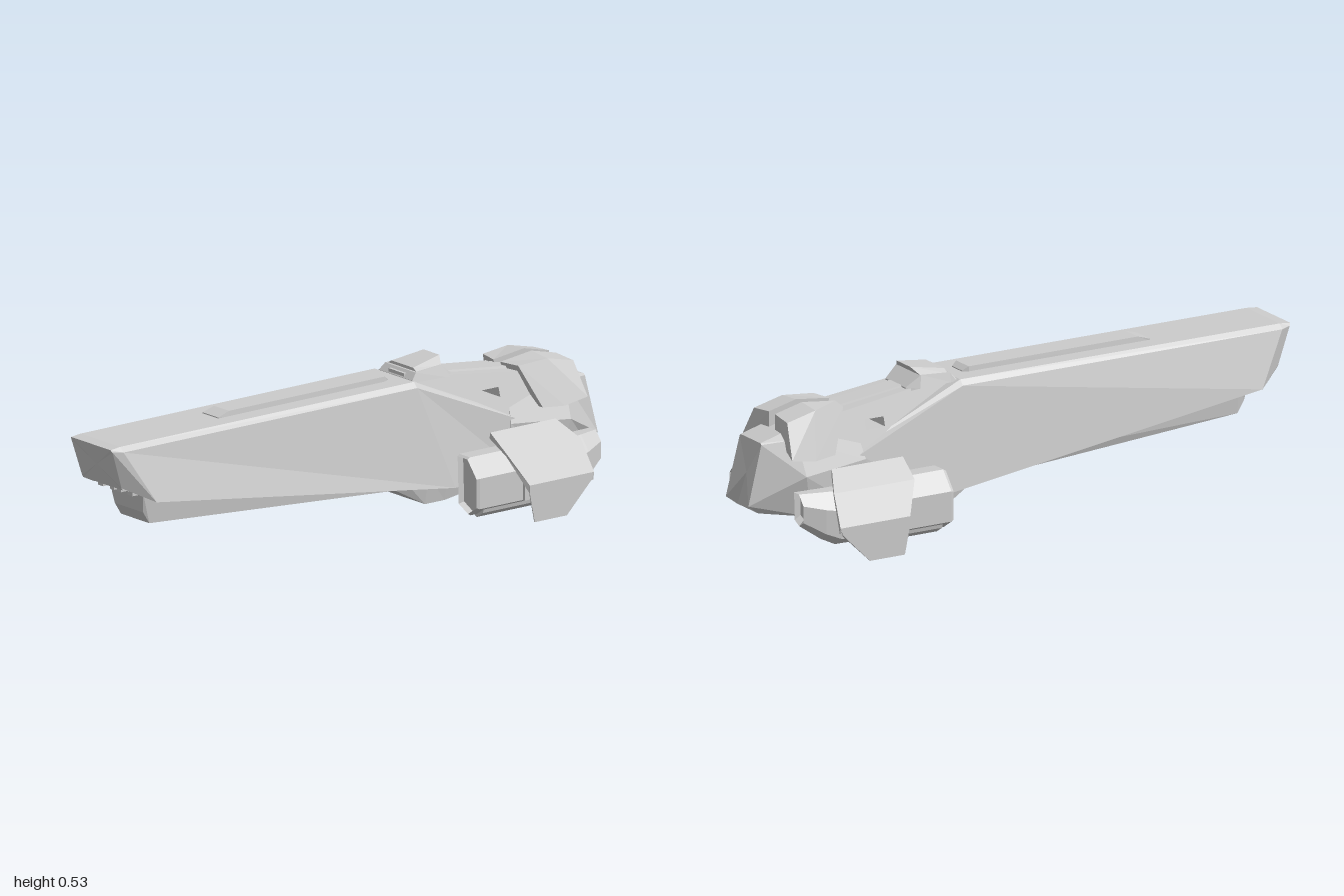
import * as THREE from 'three';

const mat = new THREE.MeshStandardMaterial({ color: 0xcccccc, flatShading: true });
const thin = new THREE.MeshStandardMaterial({ color: 0xcccccc, flatShading: true, side: THREE.DoubleSide });

// Skin a series of closed rings of [x, y, z] points, cap the ends, face outward
function loft(rings) {
  const tris = [], n = rings[0].length;
  for (let r = 0; r < rings.length - 1; r++) {
    for (let i = 0; i < n; i++) {
      const j = (i + 1) % n, a = rings[r], b = rings[r + 1];
      tris.push([a[i], a[j], b[j]], [a[i], b[j], b[i]]);
    }
  }
  [rings[0], rings[rings.length - 1]].forEach((ring, end) => {
    const c = [0, 1, 2].map(k => ring.reduce((s, p) => s + p[k], 0) / n);
    ring.forEach((p, i) => {
      const q = ring[(i + 1) % n];
      tris.push(end ? [c, p, q] : [c, q, p]);
    });
  });
  const v = p => new THREE.Vector3(...p);
  const volume = tris.reduce((s, [a, b, c]) => s + v(a).dot(v(b).cross(v(c))), 0);
  if (volume < 0) tris.forEach(t => t.reverse());
  const geo = new THREE.BufferGeometry();
  geo.setAttribute('position', new THREE.Float32BufferAttribute(tris.flat(2), 3));
  geo.computeVertexNormals();
  return geo;
}

// Complete a half ring (+x side, top to bottom) by mirroring
const sym = half => [...half, ...half.map(([x, y, z]) => [-x, y, z]).reverse()];

export function createModel() {
  const group = new THREE.Group();
  const add = (name, geo, material = mat) => {
    const m = new THREE.Mesh(geo, material);
    m.name = name;
    group.add(m);
    return m;
  };
  const box = (name, x0, x1, y0, y1, z0, z1) =>
    add(name, new THREE.BoxGeometry(x1 - x0, y1 - y0, z1 - z0))
      .position.set((x0 + x1) / 2, (y0 + y1) / 2, (z0 + z1) / 2);

  // Long forward hull with bevelled nose and slanted rear
  add('mainHull', loft([
    [[0.1, 0.468, 1], [0.105, 0.46, 0.995], [0.1, 0.335, 0.955], [0.1, 0.327, 0.95]],
    [[0.1, 0.472, 0.96], [0.117, 0.457, 0.96], [0.16, 0.285, 0.86], [0.1, 0.3, 0.86]],
    [[0.1, 0.477, -0.23], [0.116, 0.46, -0.23], [0.16, 0.12, -0.35], [0.1, 0.135, -0.35]],
    [[0.1, 0.305, -0.62], [0.125, 0.295, -0.62], [0.135, 0.12, -0.63], [0.1, 0.12, -0.63]],
  ].map(sym)));

  // Keel below the hull
  add('keel', loft([
    [[0.085, 0.297, 0.855], [0.072, 0.23, 0.845]],
    [[0.085, 0.3, 0.82], [0.072, 0.19, 0.82]],
    [[0.1, 0.18, -0.17], [0.08, 0.125, -0.17]],
    [[0.11, 0.16, -0.28], [0.093, 0.064, -0.28]],
    [[0.11, 0.15, -0.36], [0.093, 0.064, -0.36]],
    [[0.12, 0.15, -0.65], [0.1, 0.11, -0.65]],
  ].map(sym)));

  // Small blocks under the chin
  for (const s of [-1, 1]) {
    for (const [c, w] of [[0.075, 0.026], [0.018, 0.02]]) {
      box('chinBlock', s * c - w / 2, s * c + w / 2, 0.296, 0.325, 0.8, 0.9);
    }
  }

  // Raised strip along the deck
  add('deckStrip', loft([
    [[0.04, 0.477, 0.515], [0.04, 0.47, 0.515]],
    [[0.038, 0.491, 0.47], [0.04, 0.47, 0.47]],
    [[0.038, 0.493, -0.16], [0.04, 0.47, -0.16]],
    [[0.03, 0.48, -0.18], [0.03, 0.47, -0.18]],
  ].map(sym)));

  // Neck: side outline with a window right through, narrowing upward
  const outline = new THREE.Shape([
    [-0.22, 0.28], [-0.7, 0.28], [-0.7, 0.428], [-0.4, 0.465], [-0.22, 0.474],
  ].map(p => new THREE.Vector2(...p)));
  outline.holes.push(new THREE.Path([
    [-0.51, 0.366], [-0.51, 0.397], [-0.58, 0.397], [-0.58, 0.366],
  ].map(p => new THREE.Vector2(...p))));
  const neck = new THREE.ExtrudeGeometry(outline, { depth: 2, bevelEnabled: false });
  neck.translate(0, 0, -1).rotateY(-Math.PI / 2);
  const np = neck.attributes.position;
  for (let i = 0; i < np.count; i++) {
    const half = THREE.MathUtils.mapLinear(np.getY(i), 0.28, 0.465, 0.125, 0.07);
    np.setX(i, np.getX(i) * half);
  }
  neck.computeVertexNormals();
  // The rotation sends the outline's first axis to +z
  add('neck', neck);

  // Spine on top of the neck
  add('neckSpine', loft([
    [[0.035, 0.475, -0.36], [0.045, 0.44, -0.36]],
    [[0.035, 0.436, -0.7], [0.045, 0.41, -0.7]],
  ].map(sym)));

  // Bridge with overhanging roof
  add('bridge', loft([
    [[0.085, 0.476, -0.235], [0.09, 0.468, -0.235]],
    [[0.078, 0.498, -0.255], [0.086, 0.468, -0.255]],
    [[0.074, 0.505, -0.36], [0.086, 0.465, -0.37]],
    [[0.06, 0.468, -0.41], [0.065, 0.455, -0.41]],
  ].map(sym)));
  add('bridgeRoof', loft([
    [[0.055, 0.508, -0.262], [0.075, 0.496, -0.262]],
    [[0.04, 0.527, -0.38], [0.075, 0.502, -0.36]],
  ].map(sym)));
  box('bridgeWindow', -0.04, 0.04, 0.474, 0.49, -0.26, -0.238);

  // Tail block
  add('tail', loft([
    [[0.05, 0.432, -0.62], [0.08, 0.405, -0.62], [0.13, 0.28, -0.6], [0.125, 0.105, -0.6]],
    [[0.06, 0.4, -0.84], [0.1, 0.375, -0.84], [0.145, 0.26, -0.83], [0.12, 0.118, -0.8]],
    [[0.06, 0.37, -0.95], [0.065, 0.365, -0.95], [0.068, 0.17, -1], [0.062, 0.14, -0.96]],
  ].map(sym)));

  for (const s of [-1, 1]) {
    const flip = rings => rings.map(r => r.map(([x, y, z]) => [s * x, y, z]));

    // Armour plate over the tail shoulder
    add('tailArmour', loft(flip([
      [[0.018, 0.452, -0.645], [0.09, 0.452, -0.66], [0.14, 0.315, -0.72], [0.12, 0.315, -0.72], [0.018, 0.4, -0.66]],
      [[0.018, 0.467, -0.77], [0.1, 0.46, -0.77], [0.152, 0.31, -0.8], [0.12, 0.31, -0.8], [0.018, 0.4, -0.77]],
      [[0.018, 0.443, -0.87], [0.1, 0.435, -0.875], [0.155, 0.325, -0.89], [0.13, 0.325, -0.88], [0.018, 0.38, -0.87]],
    ])));

    // Engine pod: rim, body and tapered exhaust
    const section = [[0.162, 0.23], [0.215, 0.23], [0.265, 0.17], [0.265, 0.07], [0.218, 0.04], [0.168, 0.065]];
    const ring = (z, k, cx = 0.21, cy = 0.14) =>
      section.map(([x, y]) => [cx + (x - cx) * k, cy + (y - cy) * k, z]);
    add('enginePod', loft(flip([
      ring(-0.375, 0.88), ring(-0.355, 0.94), ring(-0.365, 1), ring(-0.55, 1),
      ring(-0.56, 0.95), ring(-0.77, 0.92), ring(-0.82, 0.8, 0.18, 0.2),
      ring(-0.89, 0.55, 0.17, 0.22), ring(-0.87, 0.42, 0.175, 0.21),
    ])));
    const band = s > 0 ? [0.24, 0.275] : [-0.275, -0.24];
    box('podBand', ...band, 0.07, 0.155, -0.74, -0.54);
    add('podSkid', loft(flip([-0.39, -0.54, -0.68].map(z =>
      [[0.18, 0.07, z], [0.255, 0.07, z], [0.25, 0.05, z], [0.218, 0.03, z], [0.18, 0.05, z]]))));

    // Pylon joining the pod to the body
    add('pylon', loft(flip([-0.42, -0.76].map(z =>
      [[0.09, 0.2, z], [0.19, 0.2, z], [0.19, 0.084, z], [0.09, 0.09, z]]))));

    // Folded shield outside the pod: rows of x, y, thickness drop, front z, rear z
    const rows = [
      [0.167, 0.28, 0.02, -0.485, -0.75], [0.245, 0.225, 0.008, -0.49, -0.79],
      [0.3, 0.125, 0.025, -0.54, -0.8], [0.3, 0.1, 0.003, -0.54, -0.79],
      [0.3, 0.001, 0, -0.56, -0.69],
    ];
    add('podShield', loft(flip(rows.map(([x, y, d, f, b]) =>
      [[x, y, f], [x, y, b], [x - 0.003, y - d, b], [x - 0.003, y - d, f]]))), thin);
  }
  return group;
}
